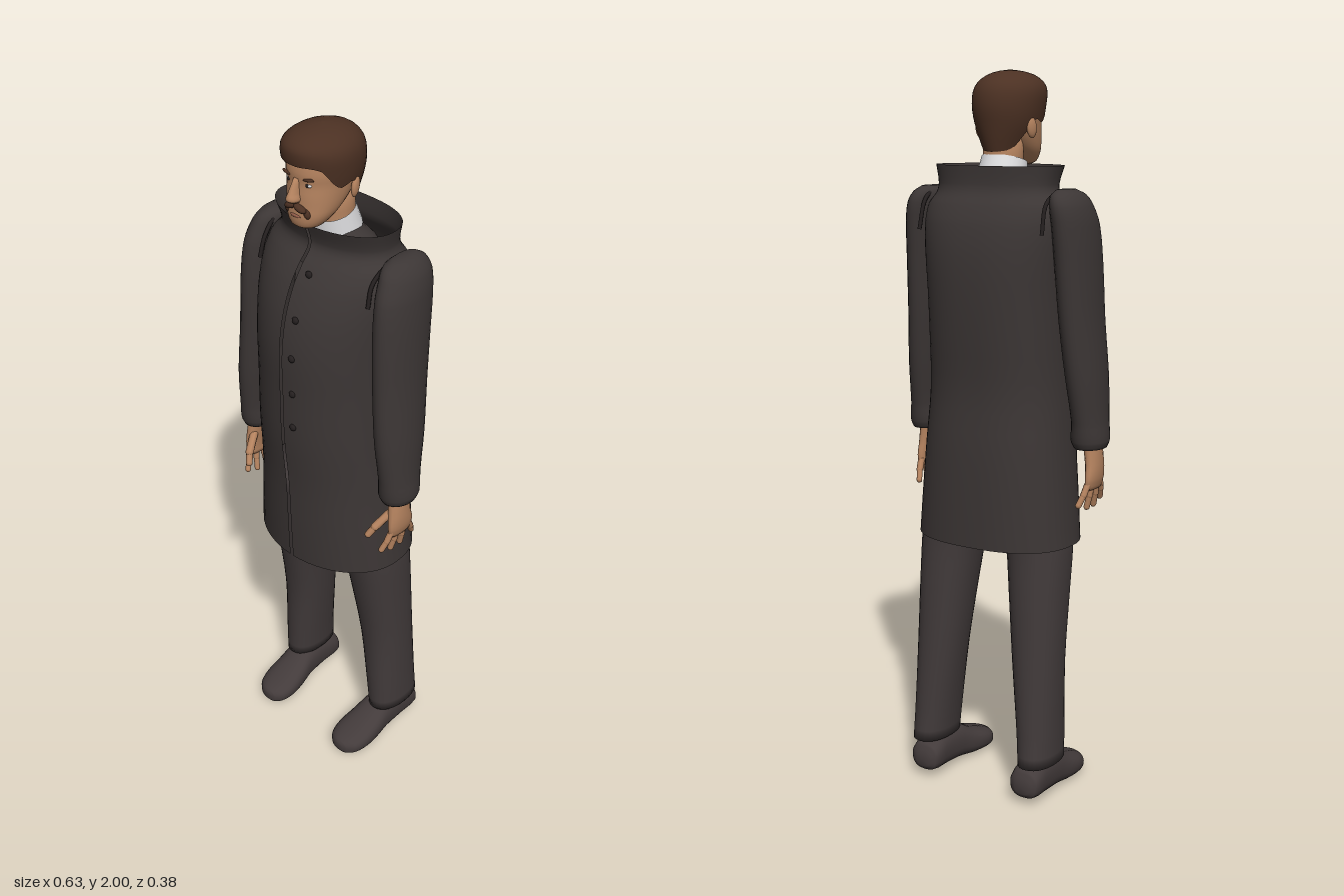
import * as THREE from 'three';
import { mergeVertices } from 'three/addons/utils/BufferGeometryUtils.js';

const mat = (name, color, side = THREE.FrontSide) => {
  const m = new THREE.MeshStandardMaterial({ color, side });
  m.name = name;
  return m;
};

// Smooth lookup in a table of rows [key, ...values]
function at(rows, k) {
  let i = 0;
  while (i < rows.length - 2 && k > rows[i + 1][0]) i++;
  const a = rows[i], b = rows[i + 1], h = b[0] - a[0];
  const t = THREE.MathUtils.clamp((k - a[0]) / h, 0, 1);
  const slope = (j, c) => {
    const p = rows[Math.max(j - 1, 0)], q = rows[Math.min(j + 1, rows.length - 1)];
    return (q[c] - p[c]) / (q[0] - p[0]);
  };
  return a.map((v, c) => c === 0 ? k :
    (2 * t ** 3 - 3 * t ** 2 + 1) * v + (t ** 3 - 2 * t ** 2 + t) * h * slope(i, c) +
    (3 * t ** 2 - 2 * t ** 3) * b[c] + (t ** 3 - t ** 2) * h * slope(i + 1, c));
}

// Grid surface from fn(column, row) -> [x, y, z], welded so normals run smoothly
function grid(fn, nu, nv) {
  const pos = [], idx = [];
  for (let j = 0; j <= nv; j++) for (let i = 0; i <= nu; i++) pos.push(...fn(i / nu, j / nv));
  for (let j = 0; j < nv; j++) for (let i = 0; i < nu; i++) {
    const a = j * (nu + 1) + i, b = a + nu + 1;
    idx.push(a, a + 1, b, a + 1, b + 1, b);
  }
  let g = new THREE.BufferGeometry();
  g.setAttribute('position', new THREE.Float32BufferAttribute(pos, 3));
  g.setIndex(idx);
  g = mergeVertices(g, 1e-5);
  g.computeVertexNormals();
  return g;
}

// Point on an oval section [y, centreX, halfWidth, zBack, zFront]
function oval([y, cx, rx, zb, zf], angle, pFront = 2, pBack = 2) {
  const s = Math.sin(angle), c = Math.cos(angle), e = 2 / (c > 0 ? pFront : pBack);
  const pw = v => Math.sign(v) * Math.abs(v) ** e;
  return [cx + rx * pw(s), y, (zb + zf) / 2 + (zf - zb) / 2 * pw(c)];
}

// Loft through oval sections; gap leaves a slit at the front, caps close the ends
function loft(rows, { n = 28, gap = 0, pFront = 2, pBack = 2, caps = true, steps = 3 } = {}) {
  const segs = rows.length - 1, nv = segs * steps, pad = caps ? 1 : 0;
  return grid((u, v) => {
    const row = Math.round(v * (nv + 2 * pad)) - pad;
    const j = THREE.MathUtils.clamp(row, 0, nv);
    const i = Math.min(Math.floor(j / steps), segs - 1);
    const y = THREE.MathUtils.lerp(rows[i][0], rows[i + 1][0], j / steps - i);
    const r = at(rows, y);
    if (row !== j) return [r[1], y, (r[3] + r[4]) / 2];
    const turn = Math.round(u * n) % n;
    const angle = gap ? gap + u * (2 * Math.PI - 2 * gap) : turn / n * 2 * Math.PI;
    return oval(r, angle, pFront, pBack);
  }, n, nv + 2 * pad);
}

export function createModel() {
  const model = new THREE.Group();
  const coatMat = mat('coat charcoal', 0x3c3635, THREE.DoubleSide);
  const trouserMat = mat('trouser charcoal', 0x413a3a);
  const shoeMat = mat('shoe grey', 0x433b3b);
  const skin = mat('skin', 0xb5835f);
  const hairMat = mat('hair brown', 0x4c3123, THREE.DoubleSide);
  const shirtMat = mat('shirt white', 0xdedee0, THREE.DoubleSide);
  const dark = mat('dark trim', 0x241f1f);
  const lipMat = mat('lip', 0x965f4b);

  const add = (name, geo, material, parent = model) => {
    const m = new THREE.Mesh(geo, material);
    m.name = name;
    parent.add(m);
    return m;
  };
  const blob = (name, material, p, size, tilt = 0, parent = model) => {
    const m = add(name, new THREE.SphereGeometry(1, 16, 10), material, parent);
    m.position.set(...p);
    m.scale.set(...size);
    m.rotation.z = tilt;
    return m;
  };
  const finger = (name, a, b, r, parent) => {
    const p = new THREE.Vector3(...a), d = new THREE.Vector3(...b).sub(p);
    const m = add(name, new THREE.CapsuleGeometry(r, d.length(), 4, 8), skin, parent);
    m.position.copy(p).addScaledVector(d, 0.5);
    m.quaternion.setFromUnitVectors(new THREE.Vector3(0, 1, 0), d.normalize());
  };

  // Long coat with standing collar, open hem and front slit
  const coatRows = [
    [0.73, 0, 0.235, -0.19, 0.165], [0.85, 0, 0.225, -0.188, 0.17], [1.0, 0, 0.212, -0.183, 0.175],
    [1.15, 0, 0.202, -0.172, 0.188], [1.3, 0, 0.2, -0.18, 0.19], [1.42, 0, 0.202, -0.185, 0.19],
    [1.52, 0, 0.208, -0.183, 0.175], [1.6, 0, 0.211, -0.17, 0.145], [1.65, 0, 0.202, -0.15, 0.112],
    [1.68, 0, 0.18, -0.132, 0.085], [1.705, 0, 0.175, -0.125, 0.08], [1.753, 0, 0.186, -0.125, 0.095]];
  add('coat', loft(coatRows, { n: 56, gap: 0.022, pBack: 2.5, caps: false }), coatMat);
  add('coatLining', loft([[1.62, 0, 0.17, -0.12, 0.07], [1.69, 0, 0.12, -0.095, 0.055],
    [1.725, 0, 0.06, -0.06, 0.04]], { caps: false }), coatMat);
  for (const y of [1.635, 1.525, 1.418, 1.31, 1.205]) {
    const [, , rx, zb, zf] = at(coatRows, y);
    const z = (zb + zf) / 2 + (zf - zb) / 2 * Math.sqrt(1 - (0.036 / rx) ** 2);
    blob('button', dark, [0.036, y, z], [0.01, 0.01, 0.007]);
  }

  for (const s of [1, -1]) {
    const side = new THREE.Group();
    side.name = s > 0 ? 'leftLimbs' : 'rightLimbs';
    model.add(side);
    const mir = rows => rows.map(r => [r[0], s * r[1], ...r.slice(2)]);
    const pt = (x, y, z) => [s * x, y, z];

    // Sleeve and shoulder seam
    add('sleeve', loft(mir([
      [1.005, 0.266, 0.042, -0.037, 0.072], [1.025, 0.265, 0.05, -0.045, 0.08], [1.08, 0.264, 0.046, -0.05, 0.085],
      [1.2, 0.255, 0.05, -0.07, 0.095], [1.35, 0.243, 0.051, -0.087, 0.093], [1.5, 0.236, 0.052, -0.1, 0.09],
      [1.6, 0.231, 0.05, -0.11, 0.08], [1.65, 0.224, 0.046, -0.112, 0.06], [1.68, 0.216, 0.036, -0.1, 0.04],
      [1.695, 0.212, 0.017, -0.075, 0.005]])), coatMat, side);
    const seam = new THREE.CatmullRomCurve3([[0.19, 1.58, 0.072], [0.187, 1.64, 0.052], [0.197, 1.688, -0.02],
      [0.19, 1.66, -0.098], [0.192, 1.58, -0.125]].map(p => new THREE.Vector3(...pt(...p))));
    add('shoulderSeam', new THREE.TubeGeometry(seam, 24, 0.006, 6), dark, side);

    // Hand with spread fingers
    add('palm', loft(mir([[0.89, 0.274, 0.011, -0.022, 0.062], [0.92, 0.277, 0.016, -0.024, 0.068],
      [0.96, 0.275, 0.02, -0.015, 0.065], [1.03, 0.267, 0.025, -0.008, 0.055]]), { n: 16 }), skin, side);
    [[0.056, 0.08, 0.852], [0.033, 0.043, 0.838], [0.008, 0.005, 0.838], [-0.014, -0.042, 0.852]].forEach(([z0, z1, y]) => {
      finger('finger', pt(0.275, 0.905, z0), pt(0.271, (0.905 + y) / 2, (z0 + z1) / 2), 0.0095, side);
      finger('fingertip', pt(0.271, (0.905 + y) / 2, (z0 + z1) / 2), pt(0.263, y, z1), 0.0085, side);
    });
    finger('thumb', pt(0.264, 0.965, 0.05), pt(0.245, 0.928, 0.088), 0.012, side);
    finger('thumbTip', pt(0.245, 0.928, 0.088), pt(0.233, 0.903, 0.102), 0.01, side);

    // Trouser leg and shoe
    add('trouserLeg', loft(mir([[0.11, 0.178, 0.053, -0.176, 0], [0.2, 0.173, 0.057, -0.168, 0.003],
      [0.4, 0.16, 0.068, -0.155, 0.01], [0.6, 0.149, 0.08, -0.144, 0.04], [0.73, 0.14, 0.088, -0.137, 0.062],
      [0.92, 0.11, 0.1, -0.14, 0.09]]), { pFront: 2.2, pBack: 2.2 }), trouserMat, side);
    const shoe = loft(mir([[-0.178, 0.168, 0.022, -0.07, -0.035], [-0.165, 0.168, 0.044, -0.1, -0.02],
      [-0.1, 0.168, 0.047, -0.125, -0.013], [-0.03, 0.166, 0.05, -0.12, -0.008], [0.02, 0.163, 0.057, -0.092, -0.002],
      [0.07, 0.16, 0.06, -0.072, 0], [0.11, 0.158, 0.05, -0.057, 0], [0.13, 0.157, 0.03, -0.047, -0.004],
      [0.137, 0.157, 0.012, -0.037, -0.014]]), { pFront: 2.6, pBack: 2.3 });
    add('shoe', shoe.rotateX(Math.PI / 2), shoeMat, side);
  }

  // Head, neck and shirt collar
  const head = new THREE.Group();
  head.name = 'head';
  model.add(head);
  const faceRows = [[1.752, 0, 0.025, 0.07, 0.115], [1.76, 0, 0.042, 0.045, 0.126], [1.785, 0, 0.06, 0.01, 0.13],
    [1.81, 0, 0.069, -0.02, 0.128], [1.84, 0, 0.075, -0.05, 0.127], [1.87, 0, 0.079, -0.065, 0.124],
    [1.9, 0, 0.083, -0.07, 0.125], [1.94, 0, 0.08, -0.06, 0.112], [1.97, 0, 0.05, -0.02, 0.07]];
  add('face', loft(faceRows, { n: 36, pFront: 2.2 }), skin, head);
  add('neck', loft([[1.66, 0, 0.055, -0.06, 0.045], [1.83, 0, 0.055, -0.058, 0.05]]), skin, head);
  const collar = add('shirtCollar', new THREE.CylinderGeometry(0.062, 0.07, 0.06, 28, 1, true), shirtMat);
  collar.position.set(0, 1.738, -0.005);
  collar.rotation.x = 0.25;

  // Hair cap whose lower edge follows forehead, temples and nape
  const hairRows = [[1.78, 0, 0.055, -0.062, 0.12], [1.82, 0, 0.072, -0.072, 0.13], [1.86, 0, 0.086, -0.08, 0.13],
    [1.9, 0, 0.093, -0.086, 0.134], [1.94, 0, 0.094, -0.082, 0.141], [1.965, 0, 0.084, -0.069, 0.137],
    [1.985, 0, 0.06, -0.042, 0.112], [1.996, 0, 0.03, -0.005, 0.072], [2, 0, 0, 0.03, 0.031]];
  const edge = [[0, 1.922], [0.75, 1.917], [1.05, 1.88], [1.3, 1.862], [1.65, 1.872], [1.9, 1.84], [2.3, 1.797], [Math.PI, 1.787]];
  add('hair', grid((u, v) => {
    const a = (Math.round(u * 48) % 48) / 48 * 2 * Math.PI;
    const low = at(edge, Math.min(a, 2 * Math.PI - a))[1];
    return oval(at(hairRows, low + (2 - low) * Math.sin(v * Math.PI / 2)), a, 2.1);
  }, 48, 16), hairMat, head);

  // Facial features
  add('nose', loft([[1.826, 0, 0.013, 0.11, 0.146], [1.835, 0, 0.017, 0.11, 0.156], [1.85, 0, 0.012, 0.11, 0.151],
    [1.885, 0, 0.008, 0.1, 0.131]], { n: 14 }), skin, head);
  blob('lowerLip', lipMat, [0, 1.788, 0.127], [0.018, 0.005, 0.006], 0, head);
  for (const s of [1, -1]) {
    blob('moustache', hairMat, [s * 0.015, 1.812, 0.128], [0.02, 0.009, 0.012], -s * 0.35, head);
    blob('moustacheTip', hairMat, [s * 0.031, 1.799, 0.119], [0.009, 0.014, 0.009], s * 0.3, head);
    blob('eye', shirtMat, [s * 0.031, 1.872, 0.114], [0.011, 0.005, 0.006], 0, head);
    blob('iris', dark, [s * 0.031, 1.872, 0.118], [0.005, 0.005, 0.0035], 0, head);
    blob('brow', hairMat, [s * 0.032, 1.887, 0.117], [0.02, 0.0045, 0.007], s * 0.12, head);
    const ear = blob('ear', skin, [s * 0.083, 1.85, 0.005], [0.009, 0.028, 0.016], 0, head);
    ear.rotation.set(-0.15, s * 0.3, 0);
  }
  return model;
}
